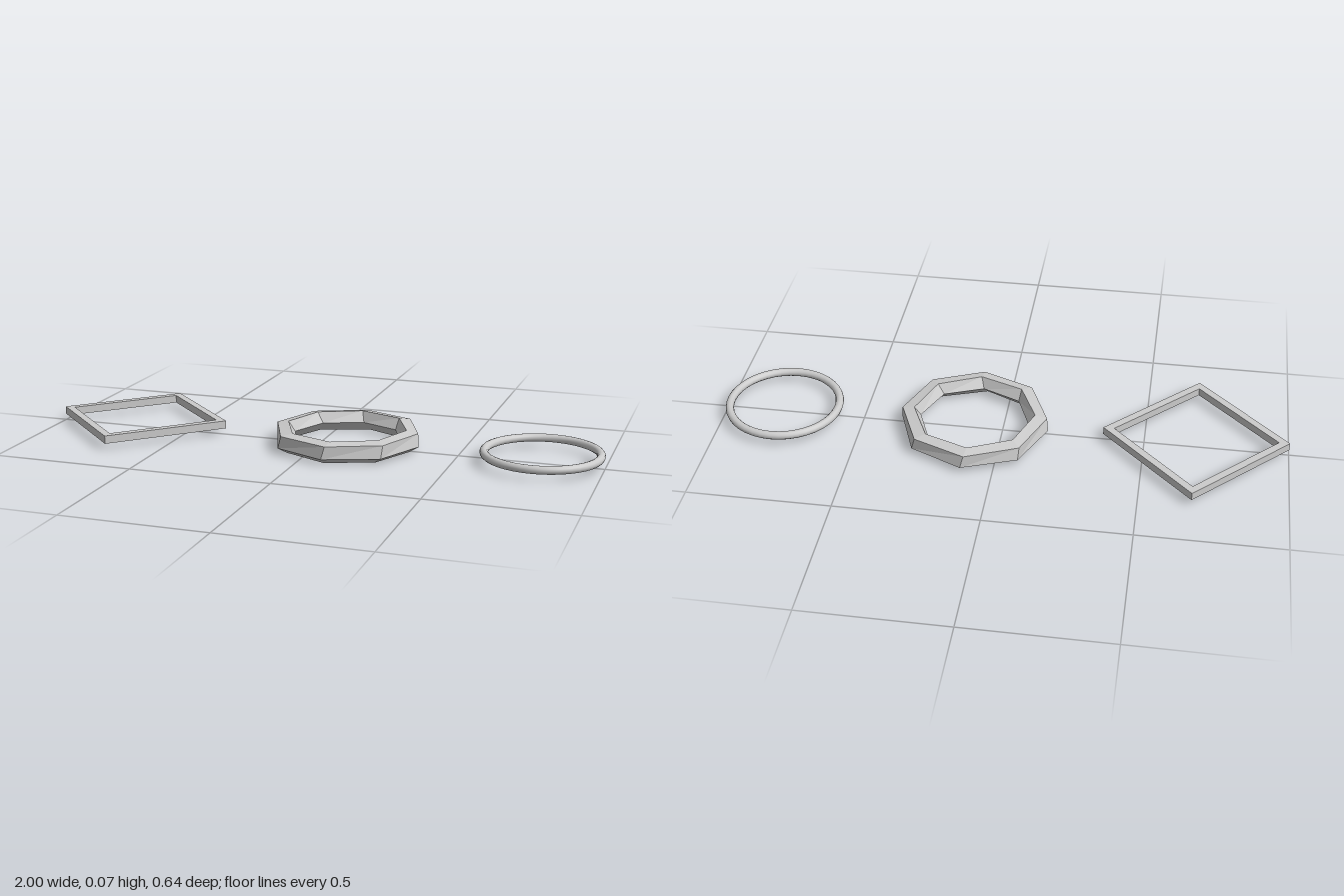
import * as THREE from 'three';

const grey = (flatShading) => new THREE.MeshStandardMaterial({ color: 0xcccccc, flatShading });
const MID = 0.036; // height of the rings' centre plane

// Sweeps a counter-clockwise [radius, height, azimuth in degrees] section around y
function sweptRing(section, sides) {
  const pos = [], index = [], n = section.length;
  for (let i = 0; i < sides; i++) {
    for (const [r, y, deg] of section) {
      const a = (i / sides) * Math.PI * 2 + THREE.MathUtils.degToRad(deg);
      pos.push(r * Math.cos(a), y, r * Math.sin(a));
    }
    const next = (i + 1) % sides;
    for (let j = 0; j < n; j++) {
      const k = (j + 1) % n;
      const a = i * n + j, b = i * n + k, c = next * n + k, d = next * n + j;
      index.push(a, b, d, b, c, d);
    }
  }
  const g = new THREE.BufferGeometry();
  g.setAttribute('position', new THREE.Float32BufferAttribute(pos, 3));
  g.setIndex(index);
  g.computeVertexNormals();
  return g;
}

export function createModel() {
  const group = new THREE.Group();
  const add = (name, geometry, flat, x, y) => {
    const mesh = new THREE.Mesh(geometry, grey(flat));
    mesh.name = name;
    mesh.position.set(x, y, 0);
    group.add(mesh);
  };

  // Square ring with a square bar section, standing on its corner in plan
  const outer = 0.322, inner = 0.284;
  const square = [[inner, 0.022, 0], [outer, 0.022, 0], [outer, 0.05, 0], [inner, 0.05, 0]];
  add('squareRing', sweptRing(square, 4), true, -0.678, 0);

  // Eight-sided ring with a five-sided section, slightly skewed around its axis
  const pentagon = [
    [0.228, 0, 3], [0.263, 0.021, 2], [0.257, 0.065, -0.5], [0.214, 0.072, -2], [0.193, 0.034, 1],
  ];
  add('octagonRing', sweptRing(pentagon, 8), true, 0.1, 0);

  // Smooth round ring
  const torus = new THREE.TorusGeometry(0.196, 0.0145, 12, 40);
  torus.rotateX(-Math.PI / 2);
  add('roundRing', torus, false, 0.789, MID);

  return group;
}
